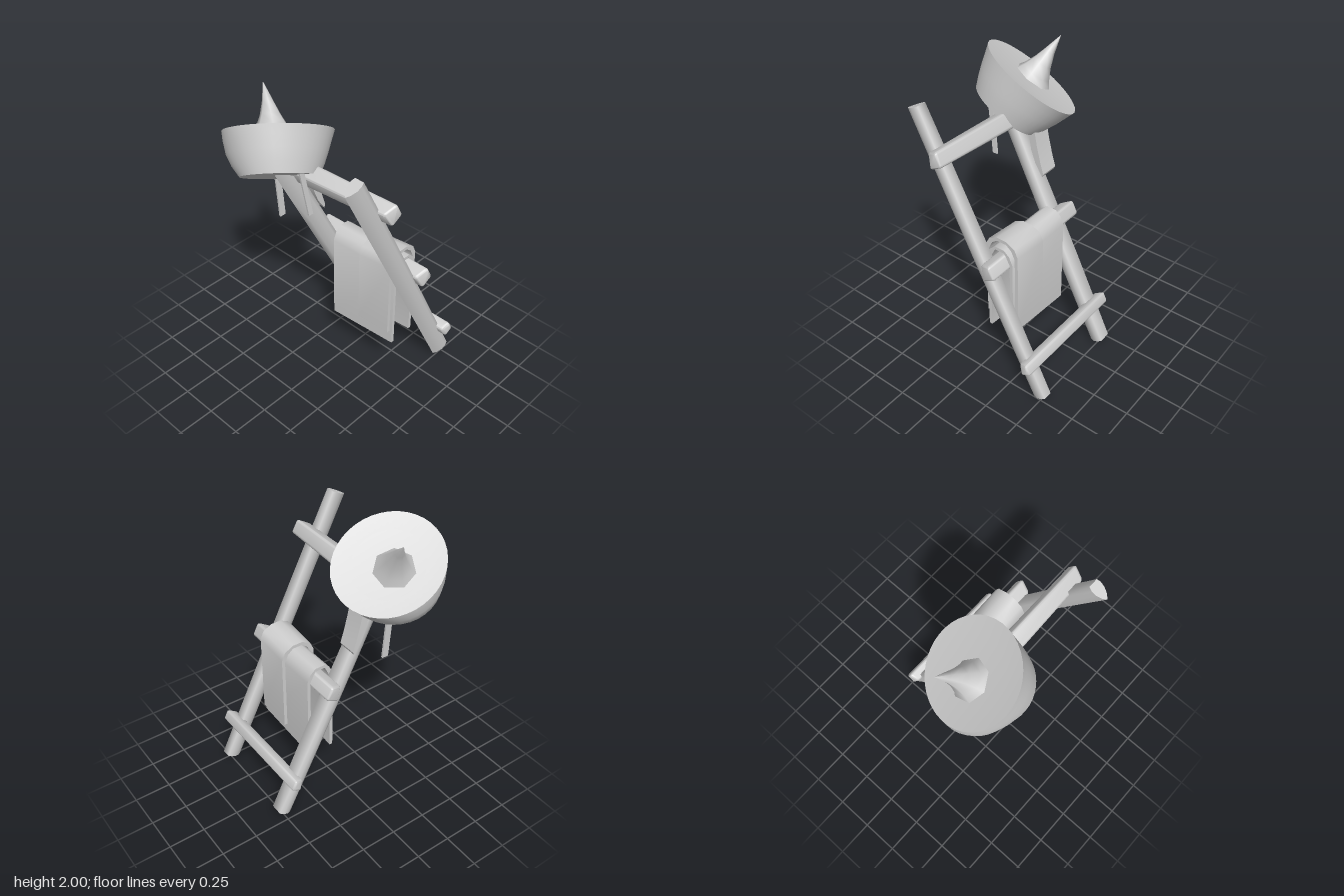
import * as THREE from 'three';
import { toCreasedNormals } from 'three/addons/utils/BufferGeometryUtils.js';
import { RoundedBoxGeometry } from 'three/addons/geometries/RoundedBoxGeometry.js';

const clay = new THREE.MeshStandardMaterial({ color: 0xcdcdcd });
clay.name = 'plain grey';
const LEAN = Math.atan2(0.925, 1.81);

// Move every vertex by a rule
function warp(geo, rule) {
  const p = geo.attributes.position;
  const v = new THREE.Vector3();
  for (let i = 0; i < p.count; i++) {
    rule(v.fromBufferAttribute(p, i));
    p.setXYZ(i, v.x, v.y, v.z);
  }
  geo.computeVertexNormals();
  return geo;
}

function part(name, geo, crease = 0.6) {
  const mesh = new THREE.Mesh(toCreasedNormals(geo, crease), clay);
  mesh.name = name;
  return mesh;
}

// Extrude a (z, y) outline along x
function extrudeX(points, x0, x1) {
  const shape = new THREE.Shape(points.map(([z, y]) => new THREE.Vector2(z, y)));
  const geo = new THREE.ExtrudeGeometry(shape, { depth: x1 - x0, bevelEnabled: false });
  return geo.rotateY(-Math.PI / 2).translate(x1, 0, 0);
}

// Leaning rail, rounded to a blunt ridge along its front
function rail(name, x, half, length, taper) {
  const side = [[0.5, -0.04], [0.92, -0.002], [1, 0.035], [0.8, 0.062]];
  const outline = [[0, -0.063], ...side, ...side.map(([a, b]) => [-a, b]).reverse()];
  const shape = new THREE.Shape(outline.map(([a, b]) => new THREE.Vector2(a * half, b)));
  const geo = new THREE.ExtrudeGeometry(shape, { depth: length, steps: 6, bevelEnabled: false });
  warp(geo, (v) => {
    const t = v.z / length;
    v.x *= 0.9 + 0.2 * Math.sin(Math.PI * t) - taper * t * t;
  });
  geo.rotateX(LEAN - Math.PI / 2).translate(x, 0.036, -0.49);
  return part(name, geo, 1.4);
}

// Rung with chamfered ends, turned with the ladder's lean
function rung(name, x0, x1, y, z, size, grow = 0, tilt = 0) {
  const len = x1 - x0;
  const geo = new RoundedBoxGeometry(len, size, size, 3, 0.018);
  warp(geo, (v) => {
    const t = v.x / len;
    const s = 1 - grow * t;
    if (Math.abs(t) > 0.4) v.x -= Math.sign(v.x) * Math.max(0, v.z + v.y) * 0.3;
    v.y *= s;
    v.z *= s;
  });
  geo.rotateX(LEAN).rotateZ(tilt).translate((x0 + x1) / 2, y, z);
  return part(name, geo, 0.7);
}

// Cloth folded over a rung
function towel(name, x0, x1, front, back, top, thick, yFront, yBack, hem, lift) {
  const edge = (d) => {
    const f = front - d, b = back + d, t = top - d, c = (f + b) / 2;
    return [[f, yFront], [f, t - 0.09], [f - 0.025, t - 0.035], [c + 0.035, t - 0.003],
      [c - 0.035, t - 0.003], [b + 0.025, t - 0.035], [b, t - 0.09], [b, yBack]];
  };
  const geo = extrudeX([...edge(0), ...edge(thick).reverse()], x0, x1);
  warp(geo, (v) => { v.y += (v.x - x0) * (v.y < 0.6 ? hem : lift); });
  return part(name, geo, 0.7);
}

function hat() {
  const group = new THREE.Group();
  group.name = 'hat';
  // Flared body, fuller on its low side
  const profile = [[0, -0.27], [0.235, -0.27], [0.265, -0.2], [0.29, -0.13], [0.312, -0.06],
    [0.332, 0], [0.22, -0.01], [0, -0.01]].map(([r, y]) => new THREE.Vector2(r, y));
  const body = warp(new THREE.LatheGeometry(profile, 40), (v) => {
    const low = Math.max(0, -v.x) / 0.33;
    if (v.y < -0.02) v.x -= 0.075 * low * Math.sin(Math.PI * -v.y / 0.3);
    v.x *= 0.95;
    v.z *= 1.06;
  });
  group.add(part('hatBody', body));
  // Faceted crown with a bent tip
  const crown = [[0.13, -0.012], [0.1, 0.03], [0.065, 0.1], [0.036, 0.18], [0.03, 0.2], [0, 0.3]]
    .map(([r, y]) => new THREE.Vector2(r, y));
  const crownGeo = warp(new THREE.LatheGeometry(crown, 7), (v) => {
    v.x -= 0.04 + 0.35 * v.y * v.y;
    v.z += 0.01 + 0.13 * v.y;
  });
  group.add(part('hatCrown', crownGeo, 0.9));
  group.position.set(-0.323, 1.775, 0.205);
  group.quaternion.setFromUnitVectors(new THREE.Vector3(0, 1, 0),
    new THREE.Vector3(-0.45, 0.81, -0.42).normalize());
  return group;
}

// Thin chin strap hanging between two points
function strap(name, from, to, width) {
  const geo = new THREE.BoxGeometry(0.012, from[1] - to[1], width, 1, 4, 1);
  warp(geo, (v) => {
    const t = v.y / (from[1] - to[1]) + 0.5;
    v.x += to[0] + (from[0] - to[0]) * t;
    v.z += to[2] + (from[2] - to[2]) * t;
    v.y += (from[1] + to[1]) / 2;
  });
  return part(name, geo);
}

export function createModel() {
  const model = new THREE.Group();
  model.name = 'ladderWithHatAndTowels';

  model.add(
    rail('leftRail', 0.483, 0.044, 2.03, 0),
    rail('rightRail', -0.18, 0.059, 1.9, 0.25),
    rung('bottomRung', -0.29, 0.59, 0.31, -0.432, 0.078),
    rung('middleRung', -0.29, 0.58, 0.94, -0.142, 0.1),
    rung('topRung', -0.27, 0.6, 1.59, 0.21, 0.108, 0.2, 0.045),
  );

  // Towels over the middle rung
  model.add(
    towel('largeTowel', -0.1, 0.425, -0.026, -0.222, 1.035, 0.022, 0.325, 0.335, 0.075, 0),
    towel('smallTowel', 0.15, 0.405, -0.001, -0.247, 1.065, 0.023, 0.45, 0.425, 0.04, 0.1),
  );

  // Hat with straps and a short neck cloth
  model.add(
    hat(),
    strap('rightStrap', [-0.365, 1.47, 0.2], [-0.353, 1.135, 0.185], 0.045),
    strap('leftStrap', [-0.04, 1.7, 0.31], [-0.015, 1.345, 0.26], 0.035),
    part('neckCloth', extrudeX([[0.11, 1.5], [0.085, 1.36], [0.05, 1.27], [-0.003, 1.19],
      [-0.012, 1.21], [0.015, 1.3], [0.04, 1.4], [0.06, 1.5]], -0.29, -0.16)),
  );
  return model;
}
